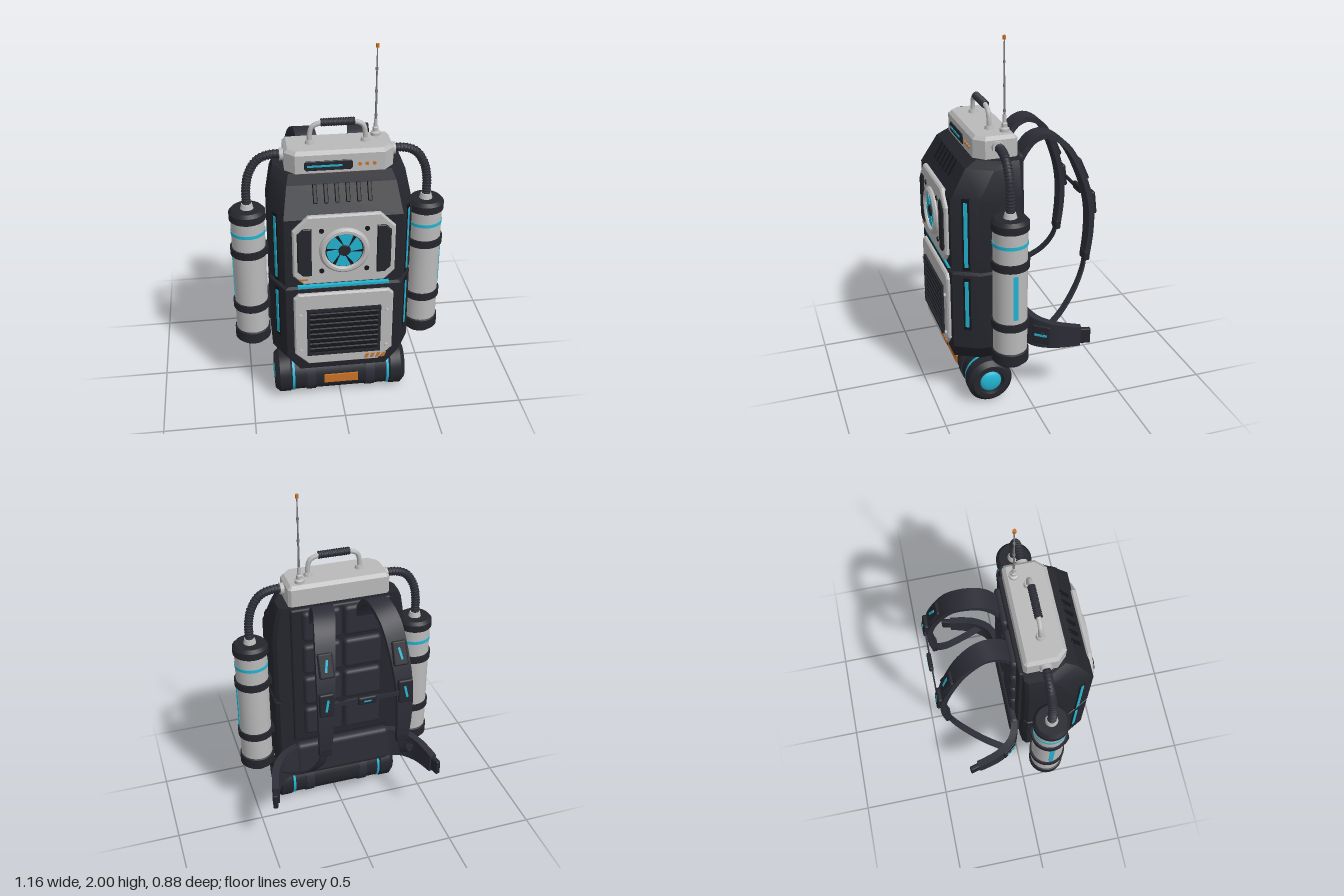
import * as THREE from 'three';
import { mergeGeometries, toCreasedNormals } from 'three/addons/utils/BufferGeometryUtils.js';
import { RoundedBoxGeometry } from 'three/addons/geometries/RoundedBoxGeometry.js';

const mat = (name, color) => Object.assign(new THREE.MeshStandardMaterial({ color }), { name });
const shell = mat('shell', 0x25262d), fabric = mat('fabric', 0x2d2e37), black = mat('black', 0x15161a);
const light = mat('lightGrey', 0xbababa), metal = mat('metal', 0x7c7c80);
const cyan = mat('cyan', 0x22b4d2), orange = mat('orange', 0xcc7428);
const V = (x, y, z) => new THREE.Vector3(x, y, z);

export function createModel() {
  const root = new THREE.Group();
  root.name = 'techBackpack';

  const add = (name, geo, m, x = 0, y = 0, z = 0, rx = 0, ry = 0, rz = 0) => {
    const mesh = new THREE.Mesh(geo, m);
    mesh.name = name;
    mesh.position.set(x, y, z);
    mesh.rotation.set(rx, ry, rz);
    root.add(mesh);
    return mesh;
  };
  const box = (w, h, d) => new THREE.BoxGeometry(w, h, d);
  const soft = (w, h, d, r) => new RoundedBoxGeometry(w, h, d, 2, r);
  const cyl = (r, h, r2 = r, n = 32) => new THREE.CylinderGeometry(r2, r, h, n);
  const lathe = (pts, n = 40) => toCreasedNormals(
    new THREE.LatheGeometry(pts.map(p => new THREE.Vector2(...p)), n), 0.5);

  // Closed solid through a list of equal-length rings
  const loft = (rings) => {
    const n = rings[0].length, pos = rings.flat().flatMap(p => [p.x, p.y, p.z]), idx = [];
    for (let i = 0; i < rings.length - 1; i++) for (let j = 0; j < n; j++) {
      const a = i * n + j, b = i * n + (j + 1) % n;
      idx.push(a, b, b + n, a, b + n, a + n);
    }
    const e = (rings.length - 1) * n;
    for (let j = 1; j < n - 1; j++) idx.push(0, j + 1, j, e, e + j, e + j + 1);
    const at = k => V(...pos.slice(k * 3, k * 3 + 3));
    let vol = 0;
    for (let i = 0; i < idx.length; i += 3) vol += at(idx[i]).dot(at(idx[i + 1]).cross(at(idx[i + 2])));
    if (vol < 0) idx.reverse();
    const g = new THREE.BufferGeometry();
    g.setAttribute('position', new THREE.Float32BufferAttribute(pos, 3));
    g.setIndex(idx);
    return toCreasedNormals(g, 0.5);
  };
  // Flat strap swept along a curve; side gives the width direction
  const ribbon = (pts, side, width, thick, steps = 28) => {
    const c = new THREE.CatmullRomCurve3(pts), rings = [];
    for (let i = 0; i <= steps; i++) {
      const t = i / steps, p = c.getPointAt(t), T = c.getTangentAt(t);
      const W = side.clone().addScaledVector(T, -side.dot(T)).normalize();
      const N = T.clone().cross(W).multiplyScalar(thick / 2);
      W.multiplyScalar(width(t) / 2);
      rings.push([[1, 1], [-1, 1], [-1, -1], [1, -1]].map(([a, b]) =>
        p.clone().addScaledVector(W, a).addScaledVector(N, b)));
    }
    return loft(rings);
  };
  const poly = pts => new THREE.Shape(pts.map(p => new THREE.Vector2(...p)));
  const chamfered = (w, h, top, bot) => poly([[-w + bot, -h], [w - bot, -h], [w, -h + bot], [w, h - top],
    [w - top, h], [-w + top, h], [-w, h - top], [-w, -h + bot]]);
  const plate = (shape, depth, bevel) => new THREE.ExtrudeGeometry(shape, { depth: depth - 2 * bevel,
    bevelThickness: bevel, bevelSize: bevel, bevelOffset: -bevel, bevelSegments: 1, curveSegments: 24 })
    .translate(0, 0, bevel);
  // Ribbed tube: a core with rings along it
  const ribbed = (curve, r, ribs) => mergeGeometries([new THREE.TubeGeometry(curve, 40, r * 0.88, 12),
    ...Array.from({ length: ribs }, (_, i) => {
      const t = (i + 0.5) / ribs, p = curve.getPointAt(t);
      const q = new THREE.Quaternion().setFromUnitVectors(V(0, 0, 1), curve.getTangentAt(t));
      return new THREE.TorusGeometry(r * 0.82, r * 0.22, 6, 14).applyQuaternion(q).translate(p.x, p.y, p.z);
    })]);

  // Main shell: [height, half width, front depth]
  const levels = [[0.257, 0.305, 0.375], [0.36, 0.375, 0.395], [0.795, 0.375, 0.395], [0.805, 0.36, 0.38],
    [0.815, 0.36, 0.38], [0.825, 0.375, 0.395], [1.21, 0.375, 0.395], [1.36, 0.35, 0.307], [1.397, 0.335, 0.245]];
  add('shell', loft(levels.map(([y, w, f]) => [[-w + 0.02, 0.02], [w - 0.02, 0.02], [w, 0.04], [w, f - 0.13],
    [w - 0.07, f], [-w + 0.07, f], [-w, f - 0.13], [-w, 0.04]].map(([x, z]) => V(x, y, z)))), shell);
  for (let i = 0; i < 6; i++) add('ventSlot', soft(0.022, 0.1, 0.012, 0.005), black, -0.139 + i * 0.0556, 1.32, 0.331, -0.54);
  add('seamLight', box(0.48, 0.014, 0.02), cyan, 0, 0.808, 0.39);

  // Light top housing
  add('topHousing', plate(poly([[-0.28, -0.2], [-0.23, -0.252], [0.23, -0.252], [0.28, -0.2], [0.28, -0.04],
    [0.265, -0.025], [-0.265, -0.025], [-0.28, -0.04]]), 0.134, 0.018).rotateX(-Math.PI / 2), light, 0, 1.378, 0);
  add('displayPanel', plate(chamfered(0.123, 0.026, 0.01, 0.01), 0.012, 0.003), shell, -0.06, 1.437, 0.246);
  add('displayLight', box(0.18, 0.01, 0.006), cyan, -0.08, 1.437, 0.258);
  for (const x of [0.1, 0.137, 0.174]) add('statusLamp', cyl(0.009, 0.012, 0.009, 16), orange, x, 1.437, 0.253, Math.PI / 2);

  // Carry handle
  const hz = 0.137;
  add('handleTube', new THREE.TubeGeometry(new THREE.CatmullRomCurve3([V(-0.143, 1.5, hz), V(-0.143, 1.56, hz),
    V(-0.13, 1.6, hz), V(-0.085, 1.62, hz), V(0, 1.622, hz), V(0.085, 1.62, hz), V(0.13, 1.6, hz), V(0.143, 1.56, hz),
    V(0.143, 1.5, hz)]), 60, 0.013, 12), light);
  add('handleGrip', ribbed(new THREE.LineCurve3(V(-0.088, 1.622, hz), V(0.088, 1.622, hz)), 0.021, 14), fabric);
  for (const s of [-1, 1]) add('handleFoot', cyl(0.025, 0.02, 0.02), light, s * 0.143, 1.52, hz);

  // Antenna
  const ax = 0.207, az = 0.075;
  add('antennaBase', lathe([[0.026, 1.505], [0.026, 1.528], [0.016, 1.535], [0.016, 1.555], [0.011, 1.56], [0.009, 1.6], [0, 1.6]], 20), light, ax, 0, az);
  add('antennaRod', cyl(0.006, 0.4, 0.003, 10), metal, ax, 1.79, az);
  for (const y of [1.62, 1.75, 1.87]) add('antennaJoint', cyl(0.007, 0.014, 0.007, 10), metal, ax, y, az);
  add('antennaTip', cyl(0.009, 0.02, 0.009, 12), orange, ax, 1.99, az);

  // Upper front panel and its fan
  add('upperPanel', plate(chamfered(0.265, 0.2, 0.08, 0.055), 0.03, 0.008), light, 0, 1.035, 0.385);
  for (const s of [-1, 1]) {
    add('sidePad', plate(poly([[-0.037, -0.11], [-0.007, -0.14], [0.037, -0.14], [0.037, 0.14], [-0.007, 0.14],
      [-0.037, 0.11]].map(([x, y]) => [-s * x, y])), 0.022, 0.006), shell, s * 0.205, 1.03, 0.402);
    for (const t of [-1, 1]) add('panelBolt', cyl(0.013, 0.012, 0.013, 12), black, s * 0.117, 1.035 + t * 0.118, 0.415, Math.PI / 2);
  }
  add('warningDash', box(0.045, 0.01, 0.006), orange, -0.212, 0.866, 0.414);
  add('fanRing', lathe([[0.098, 0], [0.13, 0], [0.13, 0.014], [0.118, 0.026], [0.104, 0.026], [0.098, 0.018], [0.098, 0]], 48), light, 0, 1.035, 0.41, Math.PI / 2);
  add('fanWell', cyl(0.1, 0.006), black, 0, 1.035, 0.415, Math.PI / 2);
  const blade = new THREE.Shape();
  blade.absarc(0, 0, 0.093, -0.42, 0.42, false);
  blade.lineTo(0.026 * Math.cos(0.12), 0.026 * Math.sin(0.12));
  blade.lineTo(0.026 * Math.cos(-0.75), 0.026 * Math.sin(-0.75));
  for (let i = 0; i < 6; i++) add('fanBlade', plate(blade, 0.006, 0), cyan, 0, 1.035, 0.418, 0, 0, i * Math.PI / 3 + 0.45);
  add('fanHub', cyl(0.036, 0.014, 0.028, 24), shell, 0, 1.035, 0.424, Math.PI / 2);

  // Lower front panel and its grille
  add('lowerPanel', plate(chamfered(0.265, 0.228, 0.025, 0.075), 0.03, 0.008), light, 0, 0.543, 0.385);
  add('grilleWell', box(0.39, 0.29, 0.012), black, 0, 0.53, 0.413);
  for (const s of [-1, 1]) {
    add('grilleFrame', box(0.014, 0.295, 0.022), shell, s * 0.191, 0.53, 0.418);
    add('grilleFrame', box(0.39, 0.014, 0.022), shell, 0, 0.53 + s * 0.14, 0.418);
    for (const y of [0.64, 0.41]) add('panelRivet', cyl(0.012, 0.012, 0.01, 12), light, s * 0.232, y, 0.418, Math.PI / 2);
  }
  for (let i = 0; i < 8; i++) add('grilleSlat', box(0.37, 0.02, 0.008), shell, 0, 0.418 + i * 0.032, 0.42, 0.5);
  for (let i = 0; i < 4; i++) add('warningDash', plate(poly([[-0.015, -0.014], [0.003, -0.014], [0.015, 0.014], [-0.003, 0.014]]), 0.006, 0),
    orange, 0.127 + i * 0.031, 0.346, 0.412);

  // Bedroll under the shell
  const half = [[0.117, 0.275], [0.125, 0.285], [0.125, 0.345], [0.1, 0.37], [0.075, 0.37], [0.068, 0.355], [0, 0.355]];
  const rollY = 0.127, rollZ = 0.205, rz = Math.PI / 2;
  add('roll', lathe([...half.map(([r, y]) => [r, -y]).reverse(), ...half], 48), shell, 0, rollY, rollZ, 0, 0, rz);
  for (const s of [-1, 1]) {
    add('rollLightRing', cyl(0.121, 0.014, 0.121, 48), cyan, s * 0.268, rollY, rollZ, 0, 0, rz);
    add('rollStrap', cyl(0.123, 0.05, 0.123, 48), fabric, s * 0.168, rollY, rollZ, 0, 0, rz);
    add('rollEndLight', new THREE.SphereGeometry(0.06, 28, 16).scale(0.35, 1, 1), cyan, s * 0.355, rollY, rollZ);
  }
  add('rollLabel', box(0.19, 0.052, 0.009), orange, 0, 0.13, 0.323);

  // Back panel and padding
  add('backPlate', soft(0.56, 0.86, 0.03, 0.012), shell, 0, 0.96, 0.015);
  for (const s of [-1, 1]) for (let i = 0; i < 4; i++)
    add('backPad', soft(0.215, 0.18, 0.05, 0.022), fabric, s * 0.115, 0.672 + i * 0.206, -0.005);
  add('lumbarPad', soft(0.56, 0.22, 0.06, 0.025), fabric, 0, 0.41, -0.01);

  for (const s of [-1, 1]) {
    const P = list => list.map(([x, y, z]) => V(s * x, y, z));

    // Edge lights on the shell chamfers
    for (const [y, h] of [[1.025, 0.36], [0.625, 0.27]]) {
      add('edgeLightFrame', box(0.04, h + 0.04, 0.01), black, s * 0.34, y, 0.325, 0, s * 1.077);
      add('edgeLight', box(0.02, h, 0.018), cyan, s * 0.34, y, 0.325, 0, s * 1.077);
    }

    // Side tank, its bands and hose
    const tx = s * 0.478, tz = 0.135;
    add('tank', cyl(0.09, 0.72, 0.09, 40), light, tx, 0.76, tz);
    add('tankCap', lathe([[0.09, 1.095], [0.098, 1.1], [0.098, 1.14], [0.082, 1.158], [0, 1.158]]), shell, tx, 0, tz);
    add('tankFoot', lathe([[0, 0.328], [0.075, 0.328], [0.082, 0.345], [0.098, 0.35], [0.098, 0.41], [0.09, 0.415]]), shell, tx, 0, tz);
    for (const y of [0.912, 0.572]) {
      add('tankBand', cyl(0.1, 0.042, 0.1, 40), shell, tx, y, tz);
      add('tankBracket', box(0.05, 0.042, 0.08), shell, s * 0.385, y, tz);
    }
    add('tankLightRing', cyl(0.093, 0.018, 0.093, 40), cyan, tx, 1.025, tz);
    add('tankGauge', box(0.009, 0.25, 0.026), cyan, tx + s * 0.0885, 0.745, tz);
    add('tankCollar', cyl(0.036, 0.03, 0.028), light, tx, 1.17, tz);
    add('hose', ribbed(new THREE.CatmullRomCurve3(P([[0.27, 1.458, tz], [0.34, 1.46, tz], [0.41, 1.435, tz],
      [0.46, 1.36, tz], [0.478, 1.27, tz], [0.478, 1.165, tz]])), 0.024, 26), fabric);
    add('hoseCollar', cyl(0.032, 0.03), light, s * 0.285, 1.458, tz, 0, 0, rz);

    // Padded shoulder strap
    add('shoulderStrap', ribbon(P([[0.13, 1.28, 0], [0.132, 1.36, -0.035], [0.14, 1.44, -0.1], [0.15, 1.455, -0.17], [0.175, 1.395, -0.265],
      [0.2, 1.22, -0.355], [0.212, 1.05, -0.4], [0.215, 0.9, -0.405], [0.215, 0.74, -0.39]]), V(1, 0, 0), t => 0.115 - 0.05 * t * t, 0.03, 36), fabric);
    for (const [x, y, z, a] of [[0.197, 1.26, -0.356, 0.42], [0.212, 1.065, -0.418, 0.12]]) {
      add('strapPlate', soft(0.08, 0.13, 0.026, 0.01), shell, s * x, y, z, a);
      add('strapLight', box(0.012, 0.065, 0.008), cyan, s * x, y + 0.012 * Math.sin(a), z - 0.012, a, 0, s * 0.2);
    }
    add('strapBuckle', soft(0.07, 0.06, 0.035, 0.01), shell, s * 0.215, 0.75, -0.39);
    add('webbing', ribbon(P([[0.215, 0.76, -0.39], [0.225, 0.68, -0.375], [0.26, 0.58, -0.32], [0.33, 0.48, -0.21],
      [0.385, 0.43, -0.11], [0.41, 0.41, -0.06]]), V(1, 0, 0), () => 0.04, 0.01), fabric);

    // Hip belt wing
    add('hipBelt', ribbon(P([[0.22, 0.41, -0.01], [0.3, 0.41, -0.02], [0.37, 0.405, -0.055], [0.425, 0.4, -0.13],
      [0.452, 0.397, -0.21], [0.466, 0.395, -0.27]]), V(0, 1, 0), t => 0.21 - 0.1 * t, 0.04), fabric);
    add('hipBuckle', soft(0.028, 0.09, 0.07, 0.008), shell, s * 0.473, 0.395, -0.288, 0, -s * 0.25);
    add('hipPocket', soft(0.1, 0.11, 0.02, 0.008), shell, s * 0.405, 0.4, -0.07, 0, s * 0.9);
    add('hipLight', box(0.07, 0.012, 0.008), cyan, s * 0.412, 0.4, -0.0615, 0, s * 0.9);
  }

  // Chest strap
  add('chestStrap', box(0.42, 0.022, 0.008), fabric, 0, 1.06, -0.424);
  add('chestBuckle', soft(0.1, 0.045, 0.024, 0.01), shell, 0, 1.06, -0.428);
  add('chestLight', box(0.04, 0.008, 0.006), cyan, 0, 1.06, -0.439);
  return root;
}
